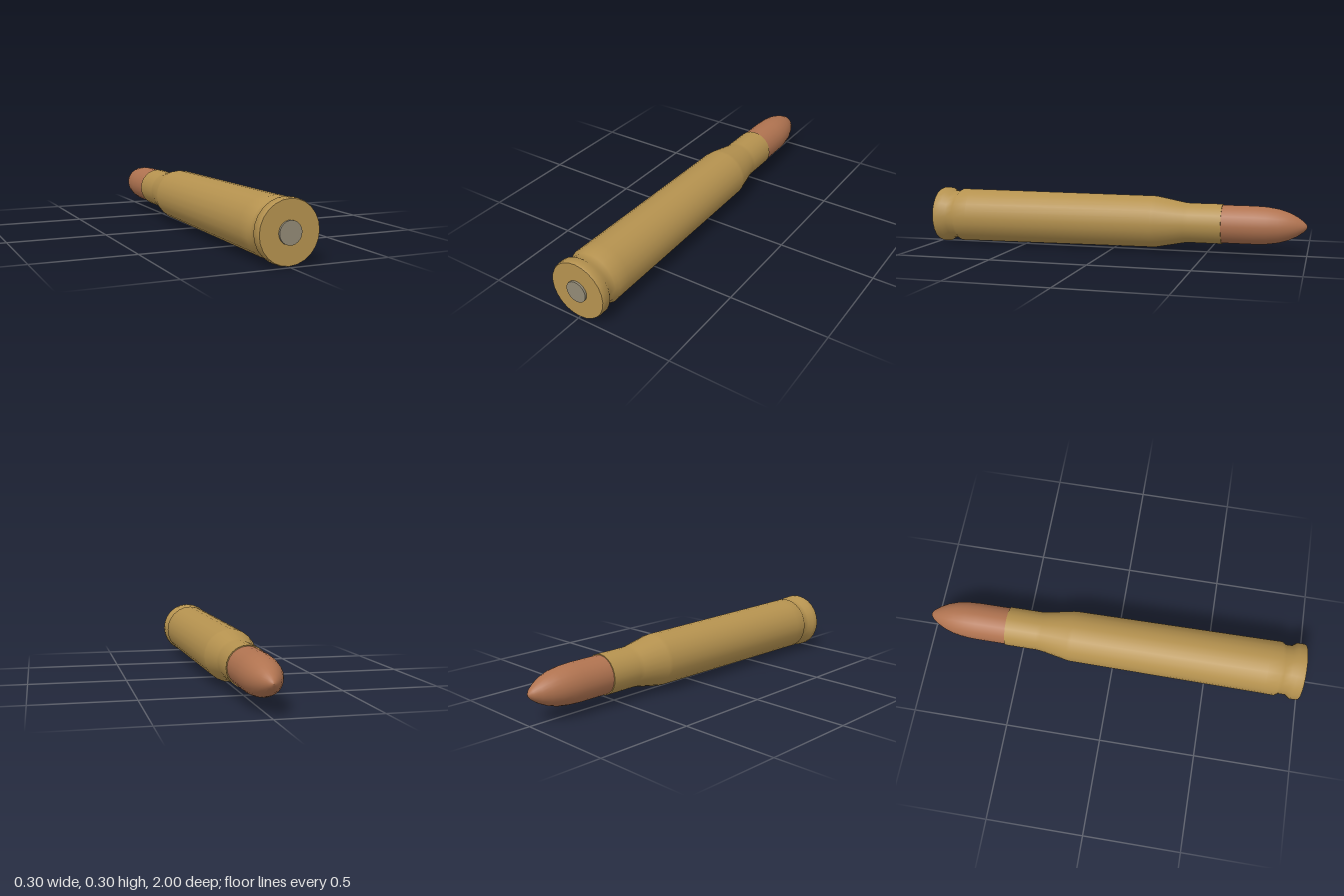
import * as THREE from 'three';

const AXIS_Y = 0.15;

// Revolves [radius, z] pairs (listed from +z to -z) around the long axis.
function turned(name, color, profile, sides = 24) {
  const points = profile.map(([r, z]) => new THREE.Vector2(r, -z));
  const geometry = new THREE.LatheGeometry(points, sides);
  geometry.rotateX(-Math.PI / 2);
  const mesh = new THREE.Mesh(geometry, new THREE.MeshStandardMaterial({ color }));
  mesh.name = name;
  mesh.position.y = AXIS_Y;
  return mesh;
}

export function createModel() {
  const group = new THREE.Group();
  group.name = 'cartridge';
  const brass = 0xb5924f, copper = 0xb07350, steel = 0x928a76;

  // Flat base of the case
  group.add(turned('caseHead', brass, [[0, 0.99], [0.145, 0.99]]));

  // Rim, extractor groove, tapered body, shoulder and neck
  group.add(turned('caseWall', brass, [
    [0.145, 0.99], [0.149, 0.98], [0.149, 0.945], [0.131, 0.921],
    [0.131, 0.884], [0.144, 0.865], [0.143, 0.8], [0.135, -0.22],
    [0.133, -0.24], [0.105, -0.385], [0.103, -0.41], [0.103, -0.577],
  ]));

  // Mouth ring closing the neck around the bullet
  group.add(turned('caseMouth', brass, [[0.103, -0.577], [0.096, -0.577]]));

  // Primer cap, slightly proud of the base
  group.add(turned('primerFace', steel, [[0, 1], [0.054, 1]], 32));
  group.add(turned('primerWall', steel, [[0.054, 1], [0.054, 0.985]], 32));

  // Bullet: straight shank and rounded ogive
  group.add(turned('bullet', copper, [
    [0.098, -0.55], [0.098, -0.74], [0.095, -0.8], [0.086, -0.86],
    [0.07, -0.91], [0.05, -0.95], [0.027, -0.982], [0.011, -0.996], [0, -1],
  ]));

  return group;
}
